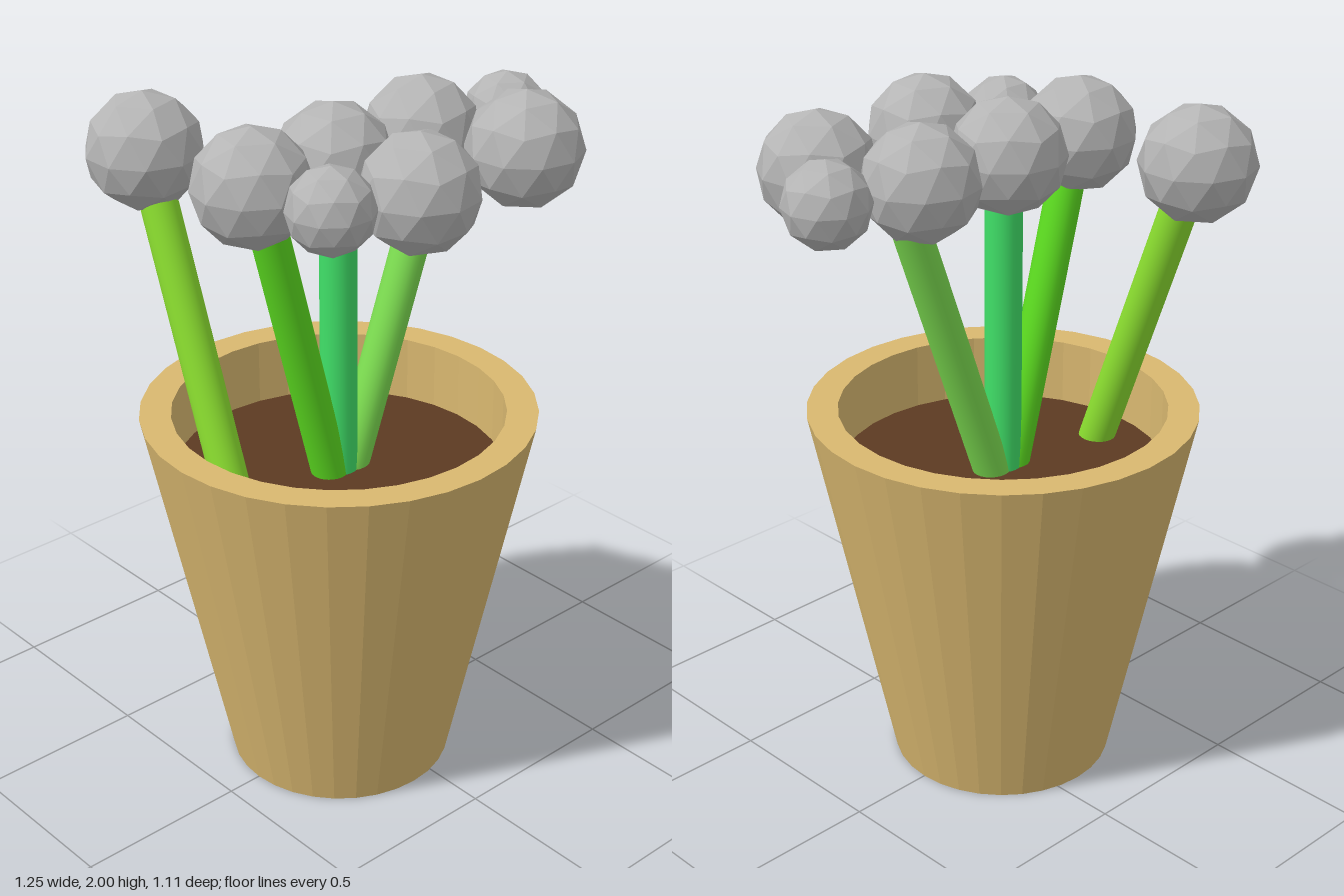
import * as THREE from 'three';

const POT_X = -0.075;
const SOIL_Y = 0.92;

function material(name, color, flatShading = false) {
  const m = new THREE.MeshStandardMaterial({ color, flatShading });
  m.name = name;
  return m;
}

export function createModel() {
  const model = new THREE.Group();
  model.name = 'pottedFlowers';
  const add = (name, geometry, mat, x = 0, y = 0, z = 0) => {
    const mesh = new THREE.Mesh(geometry, mat);
    mesh.name = name;
    mesh.position.set(x, y, z);
    model.add(mesh);
    return mesh;
  };

  // Tapered pot with a thick rim and a straight inner wall
  const profile = [[0, 0], [0.32, 0], [0.553, 1.11], [0.465, 1.11], [0.465, SOIL_Y - 0.03]]
    .map(([r, y]) => new THREE.Vector2(r, y));
  add('pot', new THREE.LatheGeometry(profile, 32), material('clay', 0xd9b870, true), POT_X);

  // Soil disc
  const soil = new THREE.CircleGeometry(0.466, 32).rotateX(-Math.PI / 2);
  add('soil', soil, material('soil brown', 0x5c3a22), POT_X, SOIL_Y);

  // Stems: each runs from below the soil to inside a bloom
  const stems = [
    ['backStem', 'lime green', 0x8ce030, [-0.41, 0.88, -0.04], [-0.41, 1.8, -0.37]],
    ['rightStem', 'grass green', 0x5cdc20, [-0.1, 0.88, 0], [-0.335, 1.78, 0]],
    ['middleStem', 'emerald green', 0x40e068, [POT_X, 0.88, 0], [POT_X, 1.78, 0]],
    ['leftStem', 'leaf green', 0x7cdc50, [-0.045, 0.88, 0], [0.285, 1.78, 0]],
  ];
  const up = new THREE.Vector3(0, 1, 0);
  for (const [name, colorName, color, from, to] of stems) {
    const a = new THREE.Vector3(...from);
    const b = new THREE.Vector3(...to);
    const dir = b.clone().sub(a);
    const mid = a.clone().add(b).multiplyScalar(0.5);
    const geometry = new THREE.CylinderGeometry(0.052, 0.052, dir.length(), 24);
    const stem = add(name, geometry, material(colorName, color), mid.x, mid.y, mid.z);
    stem.quaternion.setFromUnitVectors(up, dir.normalize());
  }

  // Faceted ball blooms: x, z, radius
  const grey = material('bloom grey', 0xb4b4b4, true);
  const blooms = [
    [-0.405, -0.395, 0.163], [-0.365, 0, 0.163], [-0.09, 0, 0.163], [0.225, 0, 0.163],
    [0.505, 0.045, 0.12], [0.345, 0.27, 0.163], [-0.075, 0.31, 0.163], [-0.32, 0.25, 0.118],
  ];
  const tilt = Math.atan(2 / (1 + Math.sqrt(5)));
  blooms.forEach(([x, z, r], i) => {
    const ball = new THREE.IcosahedronGeometry(r, 1).rotateZ(tilt);
    add(`bloom${i + 1}`, ball, grey, x, 1.838, z).rotation.y = i * 0.4;
  });

  return model;
}
